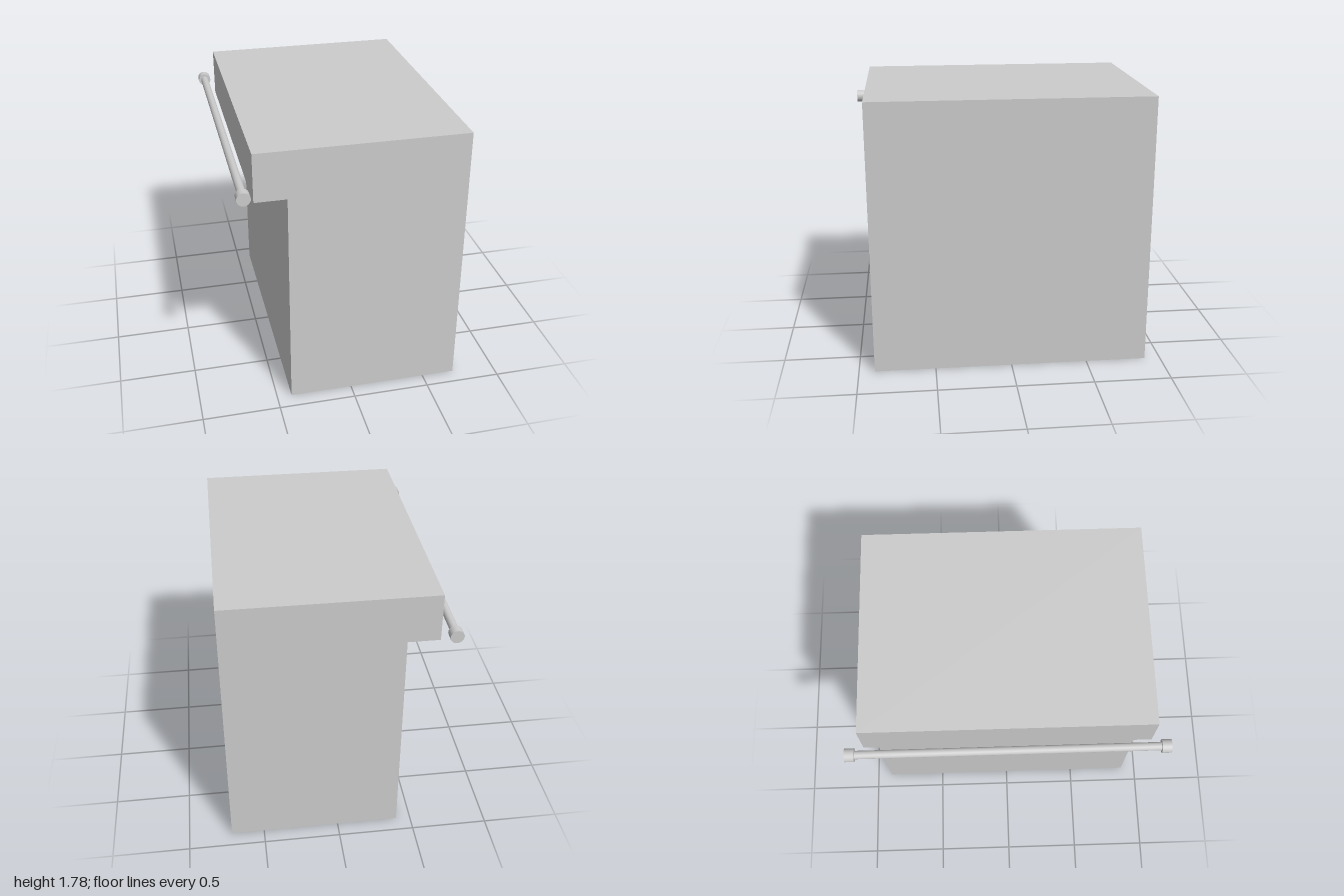
import * as THREE from 'three';

const material = new THREE.MeshStandardMaterial({ color: 0xcccccc });

// Cylinder lying along z
function bar(name, radius, length, z) {
  const geometry = new THREE.CylinderGeometry(radius, radius, length, 32).rotateX(Math.PI / 2);
  const mesh = new THREE.Mesh(geometry, material);
  mesh.name = name;
  mesh.position.z = z;
  return mesh;
}

export function createModel() {
  const group = new THREE.Group();
  group.name = 'counterWithRail';

  // Cabinet block with an overhanging top edge, one solid profile along z
  const depth = 1.794;
  const profile = new THREE.Shape([
    [-0.405, 0], [0.717, 0], [0.717, 1.778],
    [-0.606, 1.778], [-0.606, 1.467], [-0.405, 1.467],
  ].map(([x, y]) => new THREE.Vector2(x, y)));
  const bodyGeometry = new THREE.ExtrudeGeometry(profile, { depth, bevelEnabled: false });
  bodyGeometry.translate(0, 0, -depth / 2);
  const body = new THREE.Mesh(bodyGeometry, material);
  body.name = 'cabinetBody';
  group.add(body);

  // Rail in front of the overhang, with a wider cap on each end
  const rail = new THREE.Group();
  rail.name = 'rail';
  rail.position.set(-0.675, 1.55, 0);
  rail.add(bar('railRod', 0.026, 1.9, 0));
  for (const side of [-1, 1]) {
    rail.add(bar(side > 0 ? 'frontEndCap' : 'backEndCap', 0.042, 0.06, side * 0.97));
  }
  group.add(rail);

  return group;
}
